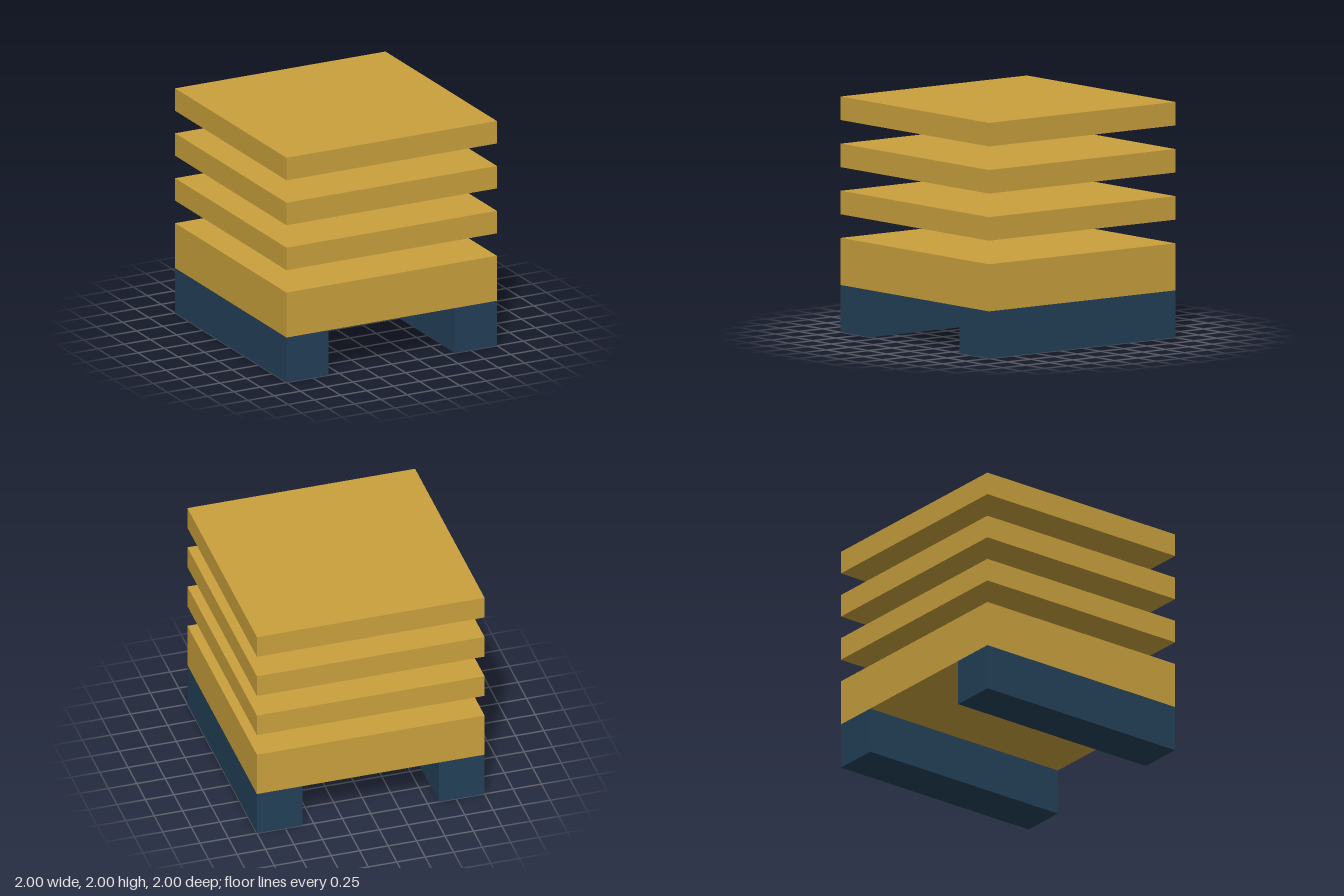
import * as THREE from 'three';

export function createModel() {
  const model = new THREE.Group();
  model.name = 'slattedStack';

  const ochre = new THREE.MeshStandardMaterial({ color: 0xc9a03c });
  ochre.name = 'ochre';
  const navy = new THREE.MeshStandardMaterial({ color: 0x234058 });
  navy.name = 'navy';

  // Box standing on height "bottom", running the full depth
  function addBlock(name, material, width, height, x, bottom) {
    const mesh = new THREE.Mesh(new THREE.BoxGeometry(width, height, 2), material);
    mesh.name = name;
    mesh.position.set(x, bottom + height / 2, 0);
    model.add(mesh);
  }

  // Two runners along the sides
  addBlock('leftRunner', navy, 0.4, 0.4, 0.8, 0);
  addBlock('rightRunner', navy, 0.4, 0.4, -0.8, 0);

  // Thick base slab
  addBlock('baseSlab', ochre, 2, 0.4, 0, 0.4);

  // Three evenly spaced floating slabs
  for (let i = 0; i < 3; i++) {
    addBlock(`upperSlab${i + 1}`, ochre, 2, 0.2, 0, 1 + i * 0.4);
  }

  return model;
}
